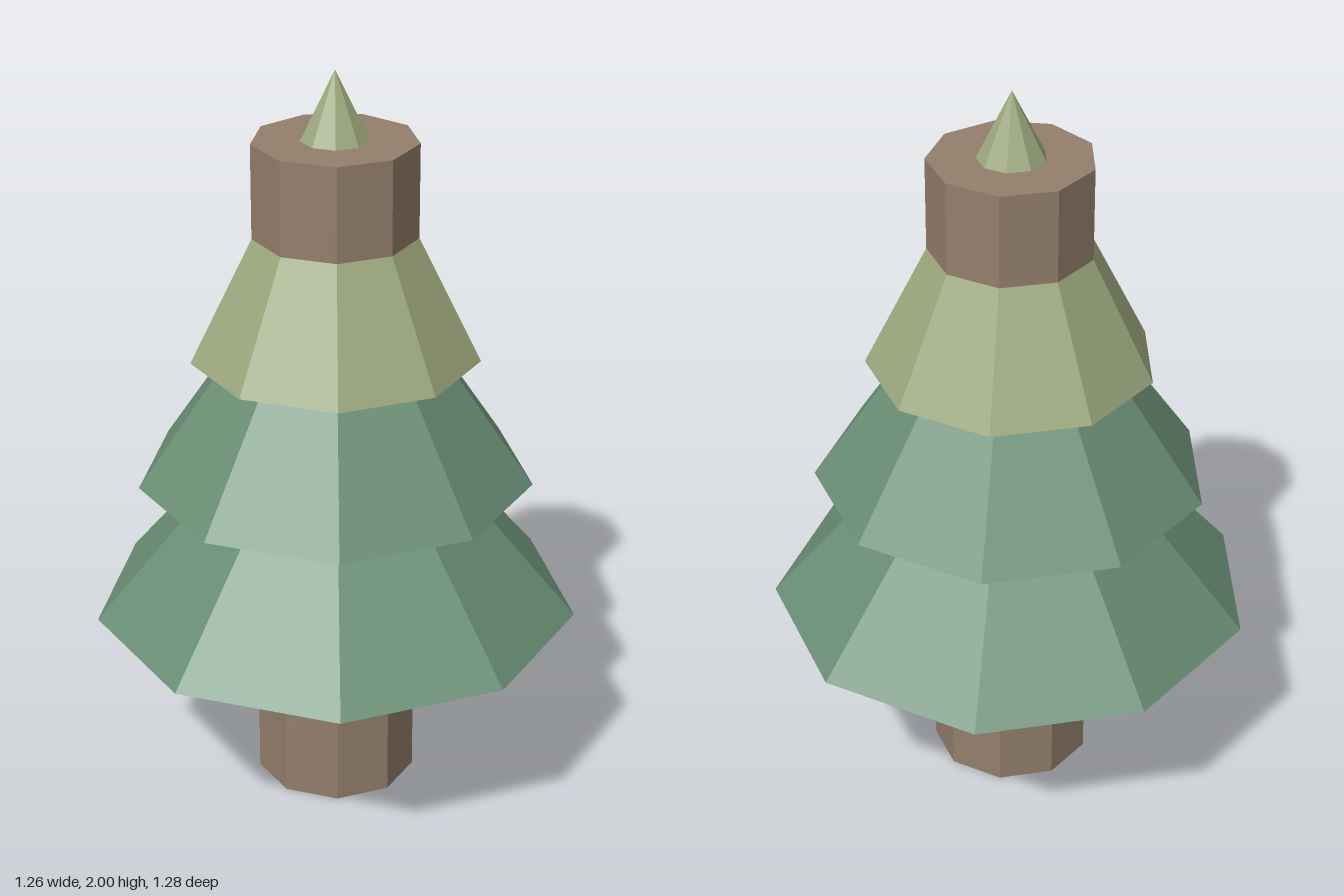
import * as THREE from 'three';

const SIDES = 9;
const CENTRE_X = -0.02; // nine-sided outlines are off-centre so the bounds centre on x = 0

export function createModel() {
  const tree = new THREE.Group();
  tree.name = 'tree';

  const material = (name, color) => {
    const m = new THREE.MeshStandardMaterial({ color, flatShading: true });
    m.name = name;
    return m;
  };
  const bark = material('bark brown', 0x937e6b);
  const darkGreen = material('dark green', 0x6a8f75);
  const lightGreen = material('light green', 0x9da87e);

  // Nine-sided solid with one corner pointing to +x
  const addPart = (name, mat, topRadius, bottomRadius, bottom, height) => {
    const geometry = new THREE.CylinderGeometry(
      topRadius, bottomRadius, height, SIDES, 1, false, Math.PI / 2);
    const mesh = new THREE.Mesh(geometry, mat);
    mesh.name = name;
    mesh.position.set(CENTRE_X, bottom + height / 2, 0);
    tree.add(mesh);
  };

  // Trunk runs up through the foliage and shows again near the top
  addPart('trunk', bark, 0.216, 0.216, 0, 1.82);

  // Foliage cones share one height; the top one pokes out of the trunk
  addPart('lowerFoliage', darkGreen, 0, 0.65, 0.513, 0.76);
  addPart('middleFoliage', darkGreen, 0, 0.526, 0.895, 0.76);
  addPart('upperFoliage', lightGreen, 0, 0.381, 1.24, 0.76);

  return tree;
}
